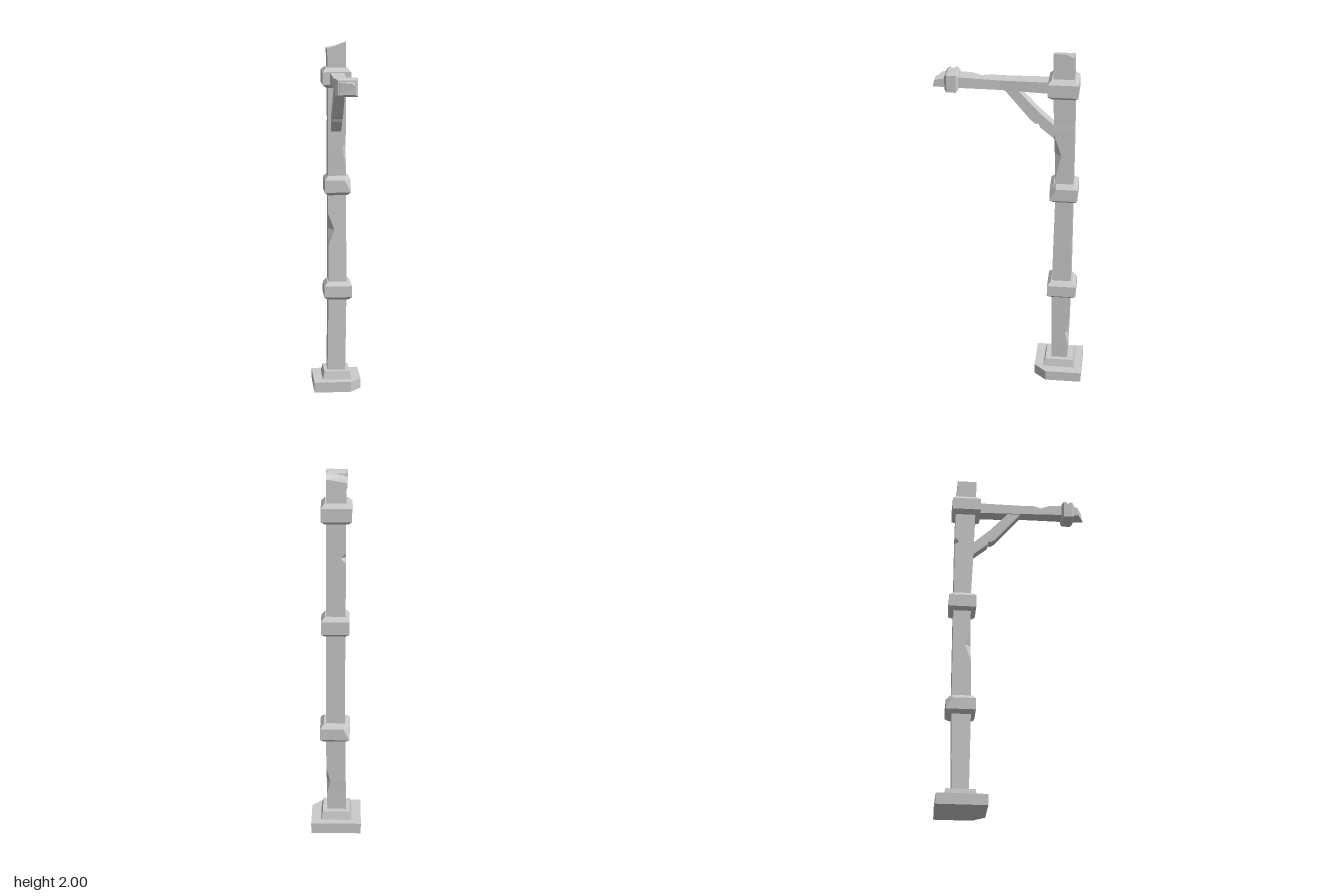
import * as THREE from 'three';

const material = new THREE.MeshStandardMaterial({ color: 0xcccccc, flatShading: true });

// One rectangular section at height y. chips cut the corners in the order
// (+x,+z), (+x,-z), (-x,-z), (-x,+z), as a size or as [along x, along z].
function section(y, x0, x1, z0, z1, chips = [0, 0, 0, 0]) {
  const [a, b, c, d] = chips.map((k) => (Array.isArray(k) ? k : [k, k]));
  return [
    [x1 - a[0], z1], [x1, z1 - a[1]],
    [x1, z0 + b[1]], [x1 - b[0], z0],
    [x0 + c[0], z0], [x0, z0 + c[1]],
    [x0, z1 - d[1]], [x0 + d[0], z1],
  ].map(([x, z]) => new THREE.Vector3(x, y, z));
}

// Skin a stack of sections and close both ends.
function loft(sections) {
  const pos = [];
  const tri = (a, b, c) => {
    if (a.distanceTo(b) < 1e-6 || b.distanceTo(c) < 1e-6 || a.distanceTo(c) < 1e-6) return;
    for (const v of [a, b, c]) pos.push(v.x, v.y, v.z);
  };
  const n = 8;
  for (let s = 0; s < sections.length - 1; s++) {
    const lo = sections[s], hi = sections[s + 1];
    for (let i = 0; i < n; i++) {
      const j = (i + 1) % n;
      tri(lo[i], lo[j], hi[j]);
      tri(lo[i], hi[j], hi[i]);
    }
  }
  const first = sections[0], last = sections[sections.length - 1];
  for (let i = 0; i < n - 2; i++) {
    tri(last[n - 1], last[i], last[i + 1]);
    tri(first[n - 1], first[i + 1], first[i]);
  }
  const g = new THREE.BufferGeometry();
  g.setAttribute('position', new THREE.Float32BufferAttribute(pos, 3));
  g.computeVertexNormals();
  return g;
}

// Bevelled band with an optional chip in one corner of its upper edge.
function band(y0, y1, x0, x1, z0, z1, corner = -1, size = 0.035) {
  const e = 0.02;
  const chip = (k) => [0, 1, 2, 3].map((i) => (i === corner ? k : 0));
  return loft([
    section(y0, x0 + e, x1 - e, z0 + e, z1 - e),
    section(y0 + 0.018, x0, x1, z0, z1),
    section(y1 - 0.022, x0, x1, z0, z1, chip(size)),
    section(y1, x0 + e, x1 - e, z0 + e, z1 - e, chip(size * 0.4)),
  ]);
}

export function createModel() {
  const model = new THREE.Group();
  const add = (name, geometry) => {
    const mesh = new THREE.Mesh(geometry, material);
    mesh.name = name;
    model.add(mesh);
    return mesh;
  };

  // Stepped foot, with one broken corner
  const broken = [[0.06, 0.068], 0, 0, 0];
  add('basePlate', loft([
    section(0, -0.137, 0.135, -0.41, -0.14, broken),
    section(0.06, -0.137, 0.135, -0.41, -0.14, broken),
  ]));
  add('baseStep', loft([
    section(0.06, -0.085, 0.082, -0.368, -0.192),
    section(0.105, -0.075, 0.072, -0.358, -0.202),
  ]));

  // Post with chipped edges
  const top = section(2, -0.055, 0.05, -0.325, -0.217, [0, [0, 0.045], 0, 0]);
  for (const v of top) {
    v.y -= 0.035 * (0.05 - v.x) / 0.105;
    if (v.z < -0.3 && v.x > 0) v.y -= 0.018;
  }
  add('post', loft([
    section(0.1, -0.055, 0.048, -0.325, -0.235),
    section(0.2, -0.053, 0.05, -0.327, -0.234),
    section(0.28, -0.052, 0.051, -0.33, -0.233, [0, 0.02, 0, 0]),
    section(0.36, -0.051, 0.052, -0.331, -0.232),
    section(0.58, -0.048, 0.055, -0.335, -0.23),
    section(0.84, -0.048, 0.054, -0.335, -0.234),
    section(0.94, -0.048, 0.053, -0.335, -0.236, [0, 0, 0, 0.034]),
    section(1.03, -0.049, 0.053, -0.335, -0.238),
    section(1.2, -0.05, 0.052, -0.335, -0.24),
    section(1.28, -0.05, 0.052, -0.335, -0.238),
    section(1.42, -0.05, 0.052, -0.335, -0.232, [[0.022, 0.036], 0, 0, 0]),
    section(1.54, -0.05, 0.051, -0.335, -0.228, [0, 0, 0, 0]),
    section(1.57, -0.05, 0.051, -0.335, -0.227, [0, 0, 0.025, 0]),
    section(1.6, -0.05, 0.05, -0.335, -0.226),
    section(1.8, -0.051, 0.05, -0.332, -0.22),
    top,
  ]));

  // Bands around the post
  add('lowerBand', band(0.53, 0.635, -0.074, 0.085, -0.365, -0.205, 2));
  add('middleBand', band(1.14, 1.25, -0.07, 0.078, -0.36, -0.21, 0));
  add('upperBand', band(1.75, 1.86, -0.082, 0.077, -0.352, -0.192));

  // Arm, lofted upright then laid forward: local y becomes z, local z becomes -y
  const end = section(0.41, -0.034, 0.043, -1.84, -1.787, [0, 0.016, 0, 0]);
  for (const v of end) {
    v.y -= 0.035 * (0.043 - v.x) / 0.077;
    if (v.z < -1.81) v.y -= 0.008;
  }
  add('arm', loft([
    section(-0.25, -0.04, 0.038, -1.835, -1.77),
    section(-0.1, -0.04, 0.034, -1.832, -1.773),
    section(0.06, -0.04, 0.028, -1.83, -1.776),
    section(0.11, -0.04, 0.031, -1.833, -1.778),
    section(0.16, -0.039, 0.035, -1.836, -1.78, [0, 0, 0.021, 0]),
    section(0.21, -0.038, 0.039, -1.84, -1.782),
    section(0.3, -0.036, 0.045, -1.845, -1.785),
    end,
  ]).rotateX(Math.PI / 2));

  // Collar near the arm tip, nicked on its upper right edge
  add('armCollar', loft([
    section(0.276, -0.042, 0.05, -1.85, -1.775),
    section(0.287, -0.055, 0.063, -1.86, -1.765),
    section(0.303, -0.055, 0.063, -1.86, -1.765),
    section(0.315, -0.055, 0.063, -1.86, -1.765, [0, 0, 0.022, 0]),
    section(0.325, -0.055, 0.063, -1.86, -1.765),
    section(0.336, -0.055, 0.063, -1.86, -1.765),
    section(0.348, -0.042, 0.05, -1.85, -1.775),
  ]).rotateX(Math.PI / 2));

  // Bent diagonal brace: side outline in (-z, y), extruded across x
  const outline = new THREE.Shape([
    [-0.045, 1.785], [0.105, 1.605], [0.13, 1.587], [0.142, 1.59], [0.152, 1.568], [0.245, 1.49],
    [0.25, 1.56], [0.14, 1.66], [0.025, 1.785],
  ].map(([u, y]) => new THREE.Vector2(u, y)));
  const brace = new THREE.ExtrudeGeometry(outline, { depth: 0.058, bevelEnabled: false });
  brace.rotateY(Math.PI / 2).translate(-0.034, 0, 0);
  add('brace', brace);

  return model;
}
